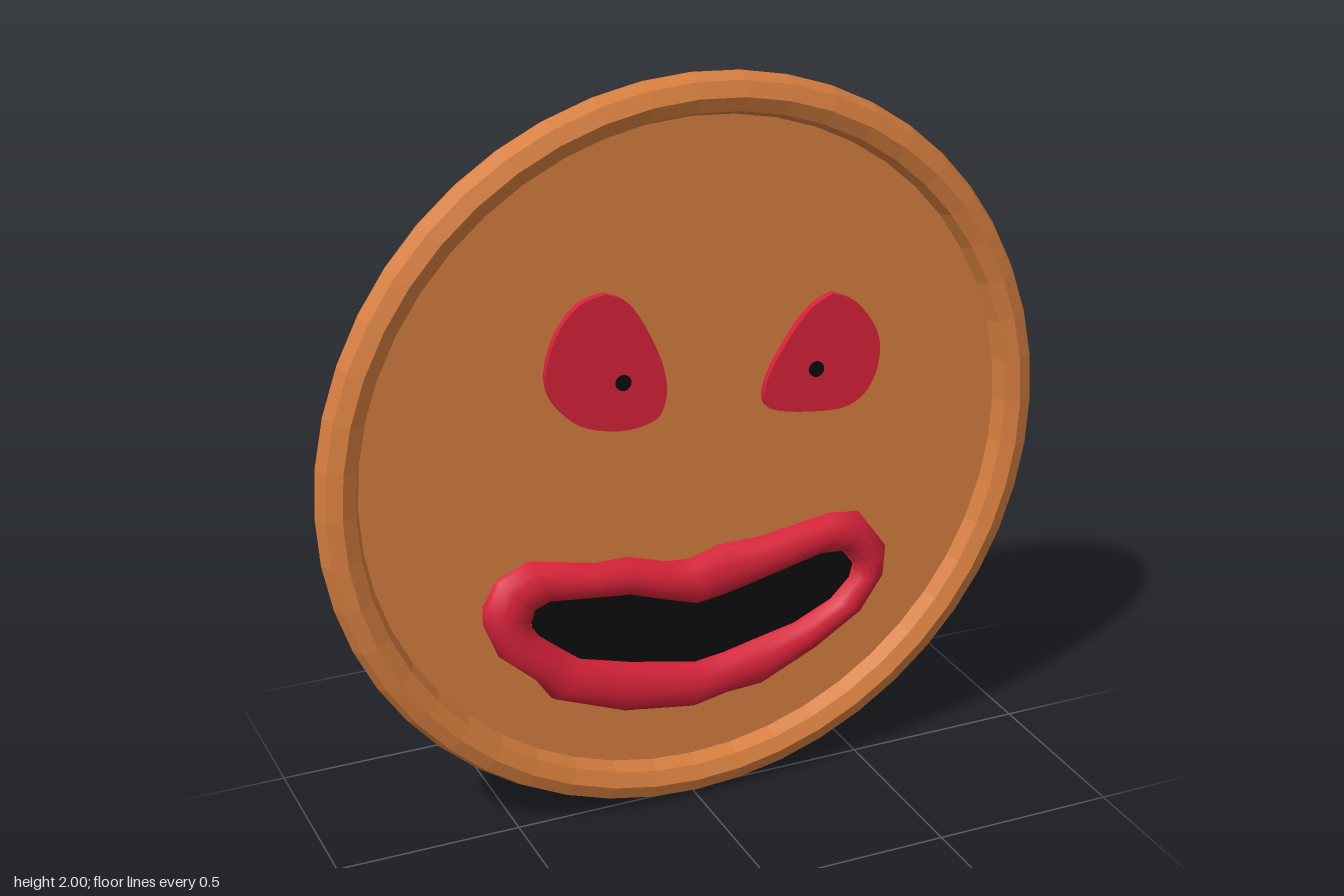
import * as THREE from 'three';

const biscuit = new THREE.MeshStandardMaterial({ color: 0xd47d3e });
biscuit.name = 'biscuit orange';
const red = new THREE.MeshStandardMaterial({ color: 0xd62239 });
red.name = 'candy red';
const black = new THREE.MeshStandardMaterial({ color: 0x0c0c0c });
black.name = 'black';

const FACE_Z = 0; // front of the recessed face
const vectors = (pts) => pts.map(([x, y]) => new THREE.Vector2(x, y));

function add(parent, name, geometry, material, x = 0, y = 0, z = 0) {
  const mesh = new THREE.Mesh(geometry, material);
  mesh.name = name;
  mesh.position.set(x, y, z);
  parent.add(mesh);
  return mesh;
}

function flat(geometry) {
  const g = geometry.toNonIndexed();
  g.computeVertexNormals();
  return g;
}

// Soft closed outline, extruded into a thin slab
function slab(pts, depth) {
  const curve = new THREE.SplineCurve(vectors([...pts, pts[0]]));
  const shape = new THREE.Shape(curve.getPoints(48).slice(0, -1));
  return new THREE.ExtrudeGeometry(shape, { depth, bevelEnabled: false });
}

// Lip stations, clockwise: outer x, outer y, inner x, inner y
const LIPS = [
  [-0.58, 0.67, -0.45, 0.61], [-0.54, 0.74, -0.44, 0.64], [-0.45, 0.775, -0.40, 0.655],
  [-0.27, 0.735, -0.27, 0.64], [-0.18, 0.735, -0.18, 0.63], [-0.07, 0.70, -0.08, 0.595],
  [0, 0.695, 0.01, 0.565], [0.08, 0.72, 0.09, 0.575], [0.20, 0.72, 0.20, 0.60],
  [0.40, 0.75, 0.37, 0.64], [0.49, 0.74, 0.44, 0.635], [0.57, 0.63, 0.475, 0.59],
  [0.565, 0.55, 0.465, 0.55], [0.50, 0.45, 0.41, 0.495], [0.36, 0.36, 0.30, 0.445],
  [0.20, 0.285, 0.18, 0.42], [0.10, 0.28, 0.09, 0.40], [0, 0.26, 0.01, 0.39],
  [-0.20, 0.29, -0.18, 0.43], [-0.40, 0.37, -0.32, 0.47], [-0.44, 0.43, -0.37, 0.51],
  [-0.54, 0.52, -0.43, 0.56], [-0.58, 0.62, -0.45, 0.59],
];

// Rounded roll swept between the outer and inner outlines
function lipGeometry() {
  const steps = 8, height = 0.05, n = LIPS.length;
  const pos = [], index = [];
  LIPS.forEach(([ox, oy, ix, iy]) => {
    for (let j = 0; j <= steps; j++) {
      const a = (Math.PI * j) / steps;
      const t = (1 - Math.cos(a)) / 2;
      pos.push(ox + (ix - ox) * t, oy + (iy - oy) * t, Math.sin(a) * height);
    }
  });
  for (let i = 0; i < n; i++) {
    for (let j = 0; j < steps; j++) {
      const a = i * (steps + 1) + j;
      const b = ((i + 1) % n) * (steps + 1) + j;
      index.push(a, a + 1, b, b, a + 1, b + 1);
    }
  }
  const g = new THREE.BufferGeometry();
  g.setAttribute('position', new THREE.Float32BufferAttribute(pos, 3));
  g.setIndex(index);
  g.computeVertexNormals();
  return g;
}

export function createModel() {
  const model = new THREE.Group();
  model.name = 'smilingDisc';

  // Body: a flat-backed disc with a rounded rim
  const disc = new THREE.CylinderGeometry(0.945, 0.945, 0.055, 48).rotateX(Math.PI / 2).rotateZ(Math.PI / 2);
  add(model, 'face', disc, biscuit, 0, 1, FACE_Z - 0.0275);
  add(model, 'rim', flat(new THREE.TorusGeometry(0.945, 0.055, 8, 48)), biscuit, 0, 1, 0);

  // Eyes: uneven teardrops with small pupils
  const eyes = [
    {
      name: 'rightEye', pupil: [-0.195, 1.23],
      outline: [[-0.24, 1.47], [-0.17, 1.43], [-0.10, 1.30], [-0.075, 1.20], [-0.09, 1.13], [-0.13, 1.105],
        [-0.21, 1.10], [-0.31, 1.13], [-0.38, 1.20], [-0.40, 1.28], [-0.37, 1.38], [-0.31, 1.45]],
    },
    {
      name: 'leftEye', pupil: [0.345, 1.18],
      outline: [[0.39, 1.38], [0.46, 1.345], [0.52, 1.26], [0.53, 1.18], [0.50, 1.10], [0.44, 1.06],
        [0.35, 1.06], [0.24, 1.08], [0.20, 1.11], [0.21, 1.18], [0.27, 1.28], [0.33, 1.35]],
    },
  ];
  for (const { name, pupil, outline } of eyes) {
    const eye = new THREE.Group();
    eye.name = name;
    add(eye, 'eyeShape', slab(outline, 0.02), red, 0, 0, FACE_Z);
    const dot = new THREE.CylinderGeometry(0.021, 0.021, 0.008, 16).rotateX(Math.PI / 2);
    add(eye, 'pupil', dot, black, pupil[0], pupil[1], FACE_Z + 0.022);
    model.add(eye);
  }

  // Mouth: raised lips around a dark opening
  const mouth = new THREE.Group();
  mouth.name = 'mouth';
  add(mouth, 'lips', lipGeometry(), red, 0, 0, FACE_Z);
  const opening = new THREE.Shape(vectors(LIPS.map((s) => [s[2], s[3]])));
  add(mouth, 'mouthOpening', new THREE.ShapeGeometry(opening), black, 0, 0, FACE_Z + 0.006);
  model.add(mouth);

  return model;
}
